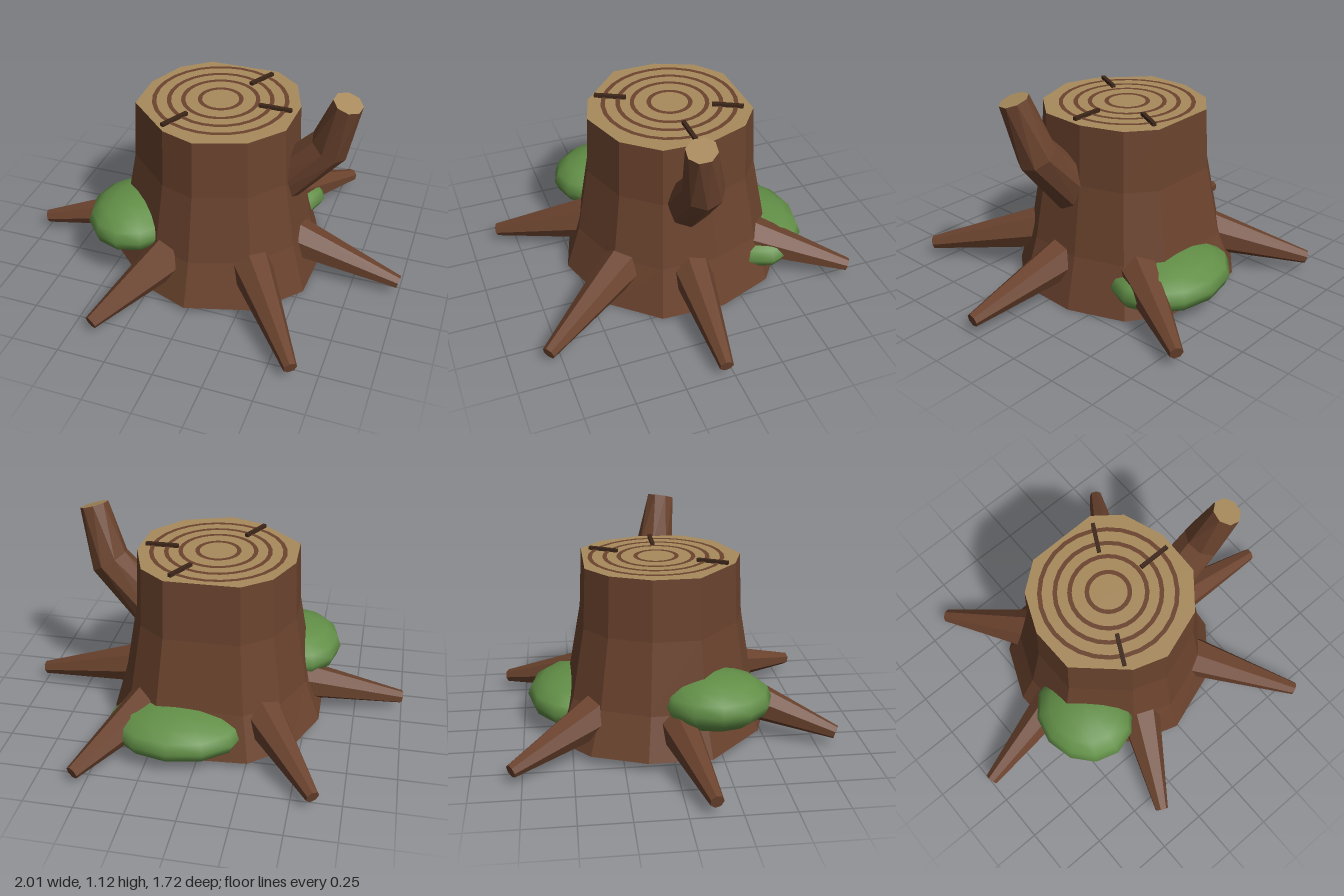
import * as THREE from 'three';

const V = (x, y, z) => new THREE.Vector3(x, y, z);

const mats = {
  bark: new THREE.MeshStandardMaterial({ color: 0x6b432e }),
  wood: new THREE.MeshStandardMaterial({ color: 0xa88a5c }),
  crack: new THREE.MeshStandardMaterial({ color: 0x3d2619 }),
  moss: new THREE.MeshStandardMaterial({ color: 0x628f47 }),
};

// Faceted geometry from a list of triangle corners
function facets(points) {
  const g = new THREE.BufferGeometry().setFromPoints(points);
  g.computeVertexNormals();
  return g;
}

// Walls between successive cross-sections
function loft(rings) {
  const out = [];
  for (let i = 0; i + 1 < rings.length; i++) {
    const lo = rings[i], hi = rings[i + 1], n = lo.length;
    for (let j = 0; j < n; j++) {
      const k = (j + 1) % n;
      out.push(lo[j], hi[j], lo[k], lo[k], hi[j], hi[k]);
    }
  }
  return facets(out);
}

// Flat end over one cross-section
function cap(ring, flip = false) {
  const c = ring.reduce((s, p) => s.add(p), V(0, 0, 0)).divideScalar(ring.length);
  const out = [];
  ring.forEach((p, j) => {
    const q = ring[(j + 1) % ring.length];
    if (flip) out.push(c, p, q);
    else out.push(c, q, p);
  });
  return facets(out);
}

// Cross-sections of a tapering limb along a bent path
function limbRings(path, radii, sides) {
  return path.map((p, i) => {
    const t = path[Math.min(i + 1, path.length - 1)].clone().sub(path[Math.max(i - 1, 0)]).normalize();
    const u = V(0, 1, 0).cross(t).normalize();
    const v = u.clone().cross(t);
    return Array.from({ length: sides }, (_, j) => {
      const a = (j / sides) * Math.PI * 2;
      return p.clone().addScaledVector(u, Math.cos(a) * radii[i]).addScaledVector(v, Math.sin(a) * radii[i]);
    });
  });
}

export function createModel() {
  const model = new THREE.Group();
  const add = (name, geometry, mat, parent = model) => {
    const m = new THREE.Mesh(geometry, mats[mat]);
    m.name = name;
    parent.add(m);
    return m;
  };
  const group = (name) => {
    const g = new THREE.Group();
    g.name = name;
    model.add(g);
    return g;
  };

  // Trunk: irregular outline flaring to a slightly sloping base
  const topY = 0.94;
  const outline = [
    [0.38, 0.14], [0.24, 0.31], [-0.01, 0.395], [-0.18, 0.34], [-0.41, 0.13], [-0.415, -0.1],
    [-0.33, -0.3], [-0.19, -0.41], [0.18, -0.415], [0.315, -0.31], [0.39, -0.1],
  ];
  const section = (s, y) => outline.map(([x, z]) => V(x * s, y ?? 0.03 - 0.047 * x * s, z * s));
  const trunk = [section(1.38), section(1.19, 0.27), section(1.035, 0.63), section(1, topY)];
  add('trunk', loft(trunk), 'bark');
  add('cutTop', cap(trunk[3]), 'wood');
  add('base', cap(trunk[0], true), 'wood');

  // Growth rings on the cut
  const rings = group('growthRings');
  for (const r of [0.105, 0.19, 0.262, 0.337]) {
    const m = add('growthRing', new THREE.RingGeometry(r - 0.011, r + 0.011, 28), 'bark', rings);
    m.rotation.x = -Math.PI / 2;
    m.position.set(-0.015, topY + 0.004, -0.04);
  }

  // Radial cracks on the cut
  const cracks = group('cracks');
  for (const [x0, z0, x1, z1] of [
    [0.085, -0.23, 0.16, -0.37], [0.19, -0.035, 0.36, -0.035], [-0.125, 0.155, -0.2, 0.3],
  ]) {
    const m = add('crack', new THREE.BoxGeometry(Math.hypot(x1 - x0, z1 - z0), 0.018, 0.02), 'crack', cracks);
    m.position.set((x0 + x1) / 2, topY + 0.008, (z0 + z1) / 2);
    m.rotation.y = -Math.atan2(z1 - z0, x1 - x0);
  }

  // Roots: start x, z and tip x, z
  const roots = group('roots');
  for (const [x0, z0, x1, z1] of [
    [-0.36, 0.0, -0.995, 0.125], [-0.15, 0.37, -0.39, 0.845], [0.26, 0.3, 0.625, 0.815],
    [0.37, 0.0, 0.995, 0.045], [0.27, -0.36, 0.55, -0.845], [-0.29, -0.35, -0.61, -0.8],
  ]) {
    const r = limbRings([V(x0, 0.22, z0), V(x1, 0.08, z1)], [0.115, 0.035], 7);
    add('root', loft(r), 'bark', roots);
    add('rootTip', cap(r[1]), 'bark', roots);
  }

  // Broken side branch
  const branch = group('branch');
  const b = limbRings([V(0.28, 0.5, 0), V(0.57, 0.815, 0.01), V(0.655, 1.1, 0.06)], [0.125, 0.105, 0.075], 8);
  add('branchBark', loft(b), 'bark', branch);
  add('branchCut', cap(b[2]), 'wood', branch);

  // Moss cushions
  for (const [x, y, z, rx, ry, rz] of [
    [-0.4, 0.31, 0.215, 0.245, 0.14, 0.28], [0.115, 0.155, -0.45, 0.355, 0.13, 0.275],
  ]) {
    const m = add('moss', new THREE.SphereGeometry(1, 12, 8), 'moss');
    m.position.set(x, y, z);
    m.scale.set(rx, ry, rz);
  }

  return model;
}
